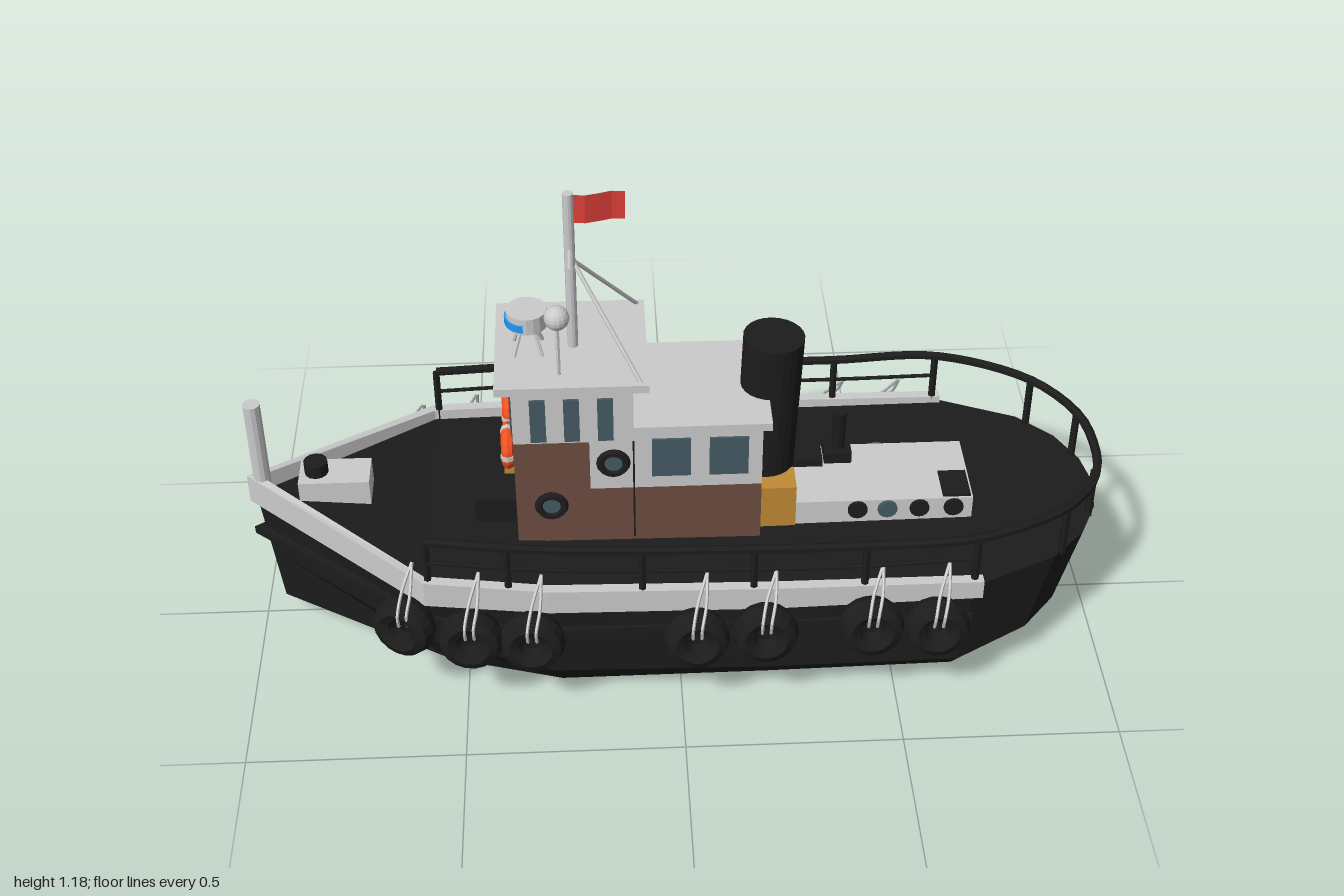
import * as THREE from 'three';

const V = (x, y, z) => new THREE.Vector3(x, y, z);
const mat = (color) => new THREE.MeshStandardMaterial({ color, flatShading: true, roughness: 0.8 });
const grey = mat(0xcccccc), black = mat(0x1c1c1c), brown = mat(0x6d4c41),
  glass = mat(0x455a64), orange = mat(0xf4511e), yellow = mat(0xc08a35), red = mat(0xe0403a), blue = mat(0x2196f3);
red.side = THREE.DoubleSide;

export function createModel() {
  const root = new THREE.Group();

  const add = (name, geo, material, x = 0, y = 0, z = 0) => {
    const m = new THREE.Mesh(geo, material);
    m.name = name;
    m.position.set(x, y, z);
    root.add(m);
    return m;
  };
  // box given by its extents
  const box = (name, material, x0, x1, y0, y1, z0, z1) =>
    add(name, new THREE.BoxGeometry(x1 - x0, y1 - y0, z1 - z0), material, (x0 + x1) / 2, (y0 + y1) / 2, (z0 + z1) / 2);
  // round bar between two points
  const bar = (name, material, a, b, r, sides = 8, r2 = r) => {
    const m = add(name, new THREE.CylinderGeometry(r2, r, a.distanceTo(b), sides), material);
    m.position.copy(a).lerp(b, 0.5);
    m.quaternion.setFromUnitVectors(V(0, 1, 0), b.clone().sub(a).normalize());
    return m;
  };
  const tube = (name, material, pts, r, n = 40, sides = 6) =>
    add(name, new THREE.TubeGeometry(new THREE.CatmullRomCurve3(pts, false, 'centripetal'), n, r, sides), material);
  // solid skin through closed rings of points, turned outward by its signed volume
  const loft = (name, material, rings) => {
    const tris = [], n = rings[0].length;
    for (let i = 0; i < rings.length - 1; i++)
      for (let j = 0; j < n; j++) {
        const k = (j + 1) % n, [p, q] = [rings[i], rings[i + 1]];
        tris.push([p[j], q[j], q[k]], [p[j], q[k], p[k]]);
      }
    const last = rings[rings.length - 1];
    for (let j = 1; j < n - 1; j++)
      tris.push([rings[0][0], rings[0][j], rings[0][j + 1]], [last[0], last[j + 1], last[j]]);
    const volume = tris.reduce((s, [a, b, c]) => s + a.dot(b.clone().cross(c)), 0);
    if (volume < 0) tris.forEach((t) => t.reverse());
    const geo = new THREE.BufferGeometry().setFromPoints(tris.flat());
    geo.computeVertexNormals();
    return add(name, geo, material);
  };

  // hull: each station holds deck edge, chine and bottom edge as x, y, half width
  const stations = [
    [-0.985, 0.385, 0, -0.965, 0.2, 0, -0.95, 0.055, 0],
    [-0.58, 0.345, 0.315, -0.58, 0.15, 0.28, -0.54, 0.04, 0.23],
    [-0.3, 0.33, 0.345, -0.3, 0.1, 0.34, -0.28, 0, 0.265],
    [0.2, 0.325, 0.35, 0.2, 0.1, 0.35, 0.2, 0.012, 0.275],
    [0.66, 0.33, 0.35, 0.64, 0.1, 0.345, 0.64, 0.025, 0.28],
    [0.86, 0.333, 0.26, 0.81, 0.12, 0.265, 0.74, 0.033, 0.22],
    [0.94, 0.333, 0.18, 0.89, 0.13, 0.18, 0.81, 0.05, 0.14],
    [0.985, 0.333, 0.09, 0.925, 0.13, 0.09, 0.83, 0.055, 0.07],
    [1, 0.333, 0, 0.935, 0.13, 0, 0.835, 0.055, 0],
  ];
  loft('hull', black, stations.map((s) => {
    const half = [0, 3, 6].map((i) => V(s[i], s[i + 1], s[i + 2]));
    // the bottom edge sits a little higher and wider on the right
    const right = half.map((p, i) => (i === 2 ? V(p.x, Math.max(p.y, 0.035), -1.08 * p.z) : V(p.x, p.y, -p.z)));
    return [...half, ...right.reverse()];
  }));

  // strips along the hull side: x, bottom, top, half width
  const strip = (name, material, pts, t, side) => loft(name, material, pts.map(([x, y0, y1, z]) => {
    const xi = z < 0.02 ? x + 0.03 : x, zi = Math.max(z - t, 0);
    return [V(x, y0, side * z), V(x, y1, side * z), V(xi, y1, side * zi), V(xi, y0, side * zi)];
  }));
  for (const s of [1, -1]) {
    strip('bulwark', grey, [[-1, 0.355, 0.43, 0], [-0.58, 0.305, 0.372, 0.328], [-0.3, 0.295, 0.358, 0.355],
      [0.2, 0.29, 0.35, 0.358], [0.68, 0.3, 0.348, 0.356]], 0.025, s);
    strip('rubbingStrake', black, [[-1, 0.255, 0.275, 0], [-0.58, 0.23, 0.25, 0.315], [-0.3, 0.22, 0.24, 0.353],
      [0.66, 0.23, 0.25, 0.357]], 0.05, s);
  }

  // railing around the sides and stern
  const railSide = [[-0.57, 0.483, 0.315], [-0.3, 0.473, 0.342], [0.1, 0.462, 0.347], [0.4, 0.46, 0.347],
    [0.66, 0.468, 0.342], [0.86, 0.464, 0.255], [0.94, 0.458, 0.172], [0.978, 0.455, 0.09]];
  const port = railSide.map(([x, y, z]) => V(x, y, z));
  const starboard = railSide.map(([x, y, z]) => V(x, y, -z)).reverse();
  tube('topRail', black, [...port, V(0.987, 0.455, 0), ...starboard], 0.011, 90);
  for (const s of [1, -1]) {
    tube('middleRail', black, railSide.slice(0, 5).map(([x, y, z]) => V(x, y - 0.06, s * z)), 0.005, 30);
    for (const [x, y, z] of [[-0.57, 0.483, 0.312], [-0.39, 0.475, 0.333], [-0.09, 0.465, 0.345], [0.16, 0.46, 0.345],
      [0.41, 0.46, 0.345], [0.66, 0.468, 0.34], [0.88, 0.46, 0.235], [0.968, 0.455, 0.105]])
      bar('railPost', black, V(x, 0.32, s * z), V(x, y, s * z), 0.009, 6);
  }

  // tyre fenders with their rope slings: x, y, distance out, turn
  const tyre = new THREE.TorusGeometry(0.048, 0.027, 8, 18).scale(1, 1, 1.3);
  const fenders = {
    1: [[-0.63, 0.25, 0.33, 0.45], [-0.48, 0.24, 0.37, 0.12], [-0.34, 0.24, 0.385, 0.1], [0.03, 0.24, 0.392, 0],
      [0.185, 0.25, 0.392, 0], [0.425, 0.255, 0.387, 0], [0.575, 0.245, 0.385, 0]],
    [-1]: [[-0.63, 0.235, 0.34, 0.45], [-0.5, 0.225, 0.375, 0.12], [-0.35, 0.225, 0.39, 0.1], [-0.06, 0.22, 0.392, 0],
      [0.09, 0.23, 0.4, 0], [0.41, 0.235, 0.387, 0], [0.55, 0.225, 0.387, 0]],
  };
  for (const s of [1, -1])
    for (const [x, y, z, turn] of fenders[s]) {
      const t = add('tyreFender', tyre, black, x, y, s * z);
      t.rotation.set(s * -0.1, s * -turn, 0);
      for (const d of [-0.01, 0.01])
        tube('fenderRope', grey, [V(x + d, y + 0.02, s * (z + 0.025)), V(x + d, y + 0.06, s * (z + 0.036)),
          V(x + d + 0.01, y + 0.1, s * (z + 0.005)), V(x + 0.025, 0.4, s * (z - 0.045))], 0.004, 12, 5);
    }

  // foredeck fittings
  bar('bowPost', grey, V(-0.965, 0.36, 0), V(-0.965, 0.64, 0), 0.02, 12);
  box('bollardBase', grey, -0.88, -0.715, 0.35, 0.425, -0.06, 0.03);
  bar('bollard', black, V(-0.84, 0.42, -0.015), V(-0.84, 0.457, -0.015), 0.028, 12);
  box('foreLocker', black, -0.47, -0.37, 0.33, 0.4, -0.08, 0.08);

  // wheelhouse and aft cabin
  box('lowerWheelhouse', brown, -0.37, -0.2, 0.32, 0.62, -0.148, 0.148);
  box('lowerCabin', brown, -0.2, 0.19, 0.32, 0.485, -0.148, 0.148);
  box('upperWheelhouse', grey, -0.37, -0.1, 0.62, 0.77, -0.15, 0.15);
  box('upperCabin', grey, -0.2, 0.19, 0.485, 0.65, -0.15, 0.15);
  box('wheelhouseRoof', grey, -0.405, -0.065, 0.765, 0.785, -0.165, 0.165);
  box('cabinRoof', grey, -0.1, 0.21, 0.645, 0.665, -0.16, 0.16);

  for (const s of [1, -1]) {
    const pane = (x0, x1, y0, y1) => box('sideWindow', glass, x0, x1, y0, y1, s * 0.15 - 0.005, s * 0.15 + 0.005);
    for (const x of [-0.33, -0.255, -0.18]) pane(x, x + 0.035, 0.627, 0.743);
    for (const x of [-0.06, 0.07]) pane(x, x + 0.088, 0.52, 0.625);
    box('doorEdge', black, -0.103, -0.099, 0.34, 0.62, s * 0.15 - 0.002, s * 0.15 + 0.002);
    for (const [x, y] of [[-0.147, 0.56], [-0.29, 0.44]]) {
      add('portholeRim', new THREE.TorusGeometry(0.029, 0.01, 6, 16), black, x, y, s * 0.152);
      bar('portholeGlass', glass, V(x, y, s * 0.14), V(x, y, s * 0.155), 0.026, 16);
    }
  }
  for (const z of [-0.105, -0.035, 0.035, 0.105])
    box('frontWindow', glass, -0.375, -0.365, 0.63, 0.743, z - 0.022, z + 0.022);

  // life rings with pale bands, and a lamp below them
  for (const z of [-0.07, 0.07]) {
    add('lifeRing', new THREE.TorusGeometry(0.04, 0.015, 8, 20), orange, -0.385, 0.555, z).rotation.y = Math.PI / 2;
    for (let i = 0; i < 4; i++) {
      const a = i * Math.PI / 2;
      const band = add('lifeRingBand', new THREE.CylinderGeometry(0.0165, 0.0165, 0.012, 8), grey,
        -0.385, 0.555 + 0.04 * Math.sin(a), z + 0.04 * Math.cos(a));
      band.rotation.x = -a;
    }
  }
  box('foreLamp', yellow, -0.4, -0.37, 0.43, 0.47, -0.02, 0.02);

  // funnel
  bar('funnel', black, V(0.205, 0.33, 0.005), V(0.222, 0.795, 0.005), 0.068, 24, 0.07);
  box('funnelLocker', yellow, 0.19, 0.275, 0.32, 0.44, 0.04, 0.115);
  box('funnelLocker', yellow, 0.19, 0.275, 0.32, 0.43, -0.1, 0.04);

  // engine casing with portholes, exhaust and hatches
  box('engineCasing', grey, 0.275, 0.69, 0.32, 0.39, -0.1, 0.11);
  for (const z of [-0.1, 0.11])
    for (const x of [0.42, 0.49, 0.565, 0.645])
      bar('casingPorthole', x === 0.49 ? glass : black, V(x, 0.366, z - 0.008), V(x, 0.366, z + 0.008), 0.023, 14);
  box('exhaustBase', black, 0.355, 0.42, 0.385, 0.42, -0.095, -0.03);
  bar('exhaustPipe', black, V(0.39, 0.4, -0.06), V(0.39, 0.522, -0.06), 0.016, 10);
  box('engineBlock', black, 0.28, 0.35, 0.385, 0.41, -0.095, -0.02);
  box('aftHatch', black, 0.62, 0.685, 0.385, 0.395, 0.015, 0.105);

  // mast, stays and flag
  bar('mast', grey, V(-0.23, 0.78, 0.005), V(-0.23, 1.183, 0.005), 0.012, 12);
  bar('mastCrossbar', grey, V(-0.23, 1.042, -0.083), V(-0.23, 1.042, 0.092), 0.005, 6);
  for (const s of [1, -1]) bar('mastStay', grey, V(-0.225, 1.01, 0), V(-0.08, 0.78, s * 0.155), 0.005, 6);
  const flag = new THREE.PlaneGeometry(0.115, 0.07, 4, 1);
  const p = flag.attributes.position;
  for (let i = 0; i < p.count; i++) {
    const u = p.getX(i) / 0.115 + 0.5;
    p.setZ(i, -0.022 * u + 0.006 * Math.sin(u * 6));
    p.setY(i, p.getY(i) - 0.008 * u);
  }
  flag.computeVertexNormals();
  add('flag', flag, red, -0.165, 1.142, 0.003);

  // roof dome and signal light on splayed legs
  bar('domePole', grey, V(-0.262, 0.78, 0.113), V(-0.262, 0.92, 0.113), 0.005, 6);
  add('dome', new THREE.SphereGeometry(0.028, 14, 10), grey, -0.262, 0.936, 0.113);
  add('signalLight', new THREE.CylinderGeometry(0.046, 0.046, 0.04, 18), grey, -0.33, 0.872, 0.012);
  add('signalLens', new THREE.CylinderGeometry(0.05, 0.05, 0.017, 14, 1, false, Math.PI * 0.75, Math.PI * 1.2),
    blue, -0.33, 0.868, 0.012);
  for (let i = 0; i < 4; i++) {
    const a = Math.PI / 4 + i * Math.PI / 2, c = Math.cos(a), s = Math.sin(a);
    bar('lightLeg', grey, V(-0.33 + 0.045 * c, 0.783, 0.012 + 0.045 * s), V(-0.33 + 0.015 * c, 0.855, 0.012 + 0.015 * s), 0.005, 6);
  }
  return root;
}
